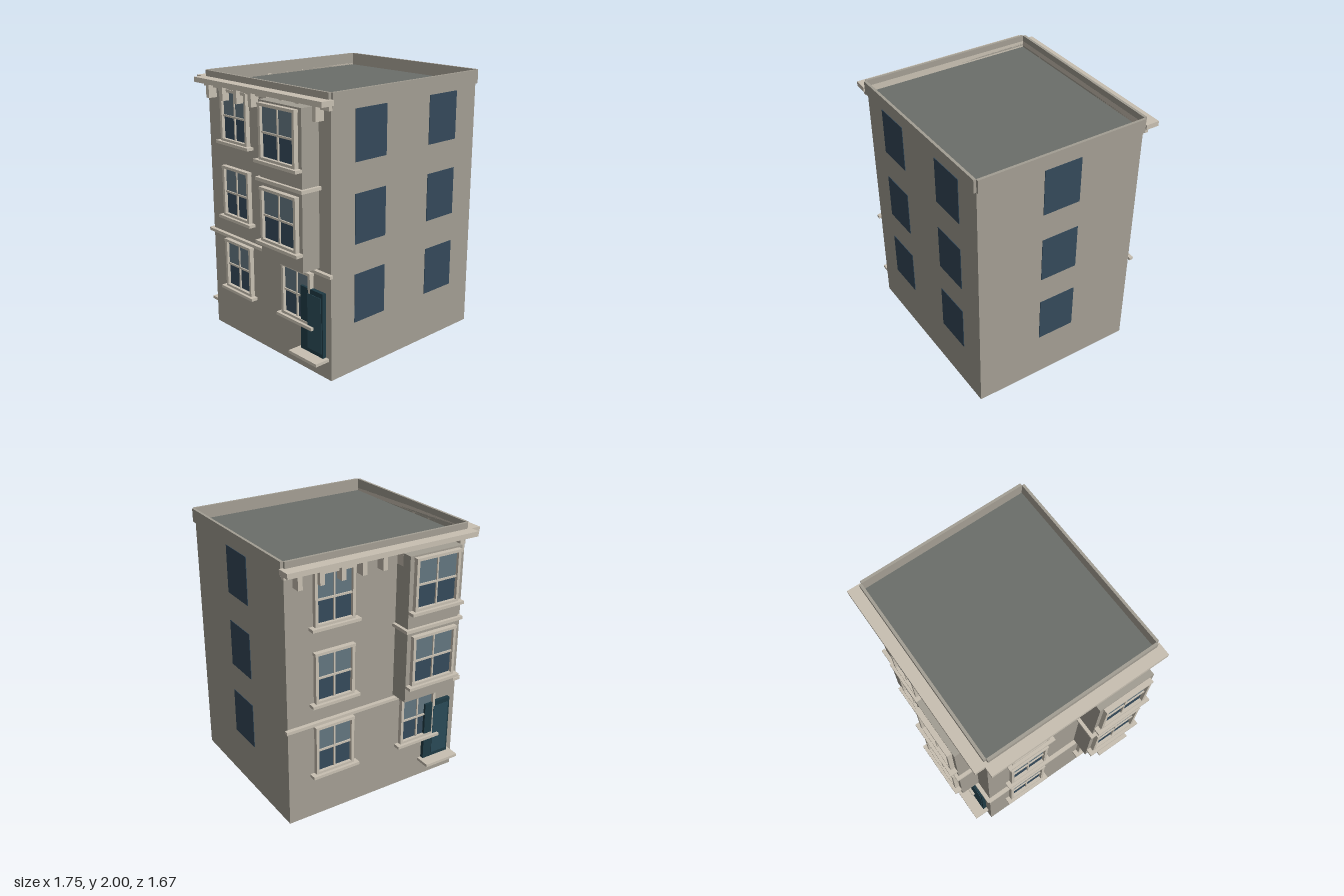
import * as THREE from 'three';

const mat = (color) => new THREE.MeshStandardMaterial({ color });
const MATS = {
  wall: mat(0xa39e93), trim: mat(0xc8c0b2), roof: mat(0x6b6f6a),
  glass: mat(0x34495a), paleGlass: mat(0x62757f), door: mat(0x1f3a44), panel: mat(0x2a4a56),
};

// Footprint corners [x, z]
const FL = [-0.59, 0.796], FR = [0.852, 0.571], BR = [0.675, -0.727], BL = [-0.772, -0.535];
const WALL_TOP = 1.9;
const FLOORS = [0.371, 0.943, 1.515]; // bottom of the glass on each storey
const GLASS_H = 0.355;

// Box on a wall: centre u along it, bottom y, back face at p, size w x h x d
function box(parent, name, material, u, y, p, w, h, d) {
  const m = new THREE.Mesh(new THREE.BoxGeometry(w, h, d), material);
  m.name = name;
  m.position.set(u, y + h / 2, p + d / 2);
  parent.add(m);
  return m;
}

// Group whose x runs along the wall from a to b and whose z points outward
function wallGroup(name, a, b) {
  const g = new THREE.Group();
  g.name = name;
  g.position.set(a[0], 0, a[1]);
  g.rotation.y = -Math.atan2(b[1] - a[1], b[0] - a[0]);
  g.userData.length = Math.hypot(b[0] - a[0], b[1] - a[1]);
  return g;
}

function prism(name, material, y, h) {
  const shape = new THREE.Shape([FL, FR, BR, BL].map(([x, z]) => new THREE.Vector2(x, -z)));
  const geo = new THREE.ExtrudeGeometry(shape, { depth: h, bevelEnabled: false });
  const m = new THREE.Mesh(geo.rotateX(-Math.PI / 2), material);
  m.name = name;
  m.position.y = y;
  return m;
}

// Two-over-two sash window with frame, header and sill
function sashWindow(parent, u, y, p, w) {
  const g = new THREE.Group();
  g.name = 'sashWindow';
  g.position.set(u, y, p);
  parent.add(g);
  const f = 0.022, half = GLASS_H / 2, d = 0.033;
  box(g, 'lowerPane', MATS.glass, 0, 0, 0, w, half, 0.008);
  box(g, 'upperPane', MATS.paleGlass, 0, half, 0, w, half, 0.012);
  for (const s of [-1, 1]) box(g, 'jamb', MATS.trim, s * (w / 2), 0, 0, f, GLASS_H, d);
  box(g, 'header', MATS.trim, 0, GLASS_H, 0, w + 0.03, 0.02, d + 0.004);
  box(g, 'bottomRail', MATS.trim, 0, -0.01, 0, w + f, 0.02, d);
  box(g, 'meetingRail', MATS.trim, 0, half - 0.006, 0, w, 0.014, 0.022);
  box(g, 'mullion', MATS.trim, 0, 0, 0, 0.012, GLASS_H, 0.02);
  box(g, 'sill', MATS.trim, 0, -0.03, 0, w + 0.09, 0.022, 0.055);
}

// Two-storey projecting bay
function bay(parent, u) {
  const g = new THREE.Group();
  g.name = 'bay';
  parent.add(g);
  const w = 0.44, d = 0.145;
  box(g, 'lowerBay', MATS.wall, u, 0.8, 0, w, 0.55, d);
  box(g, 'bayBand', MATS.trim, u, 1.35, 0, w + 0.05, 0.024, d + 0.024);
  box(g, 'upperBay', MATS.wall, u, 1.374, 0, w, 0.528, d);
  for (const y of FLOORS.slice(1)) sashWindow(g, u, y, d, 0.35);
}

function entrance(parent, u) {
  const g = new THREE.Group();
  g.name = 'entrance';
  parent.add(g);
  box(g, 'door', MATS.door, u, 0.16, 0, 0.23, 0.475, 0.03);
  box(g, 'doorPanel', MATS.panel, u + 0.03, 0.19, 0.03, 0.14, 0.41, 0.004);
  box(g, 'doorStep', MATS.trim, u, 0.138, 0, 0.29, 0.022, 0.12);
}

// Decorated street side
function streetFacade(name, a, b, bracketCount) {
  const g = wallGroup(name, a, b), L = g.userData.length;
  for (const y of FLOORS) sashWindow(g, L * 0.25, y, 0, 0.29);
  sashWindow(g, L * 0.75, FLOORS[0], 0, 0.29);
  bay(g, L * 0.75);
  entrance(g, L * 0.875);
  box(g, 'stringCourse', MATS.trim, L / 2, 0.763, 0, L + 0.04, 0.022, 0.03);
  box(g, 'cornice', MATS.trim, L / 2, 1.918, 0, L + 0.06, 0.037, 0.105);
  box(g, 'corniceMoulding', MATS.trim, L / 2, 1.885, 0, L + 0.03, 0.033, 0.03);
  for (let i = 0; i < bracketCount; i++) {
    box(g, 'bracket', MATS.trim, ((i + 0.5) / bracketCount) * L, 1.81, 0, 0.035, 0.108, 0.068);
  }
  return g;
}

// Plain side with flat windows
function plainSide(name, a, b, columns) {
  const g = wallGroup(name, a, b), L = g.userData.length;
  for (const c of columns) {
    for (const y of FLOORS) box(g, 'flatWindow', MATS.glass, c * L, y, -0.01, 0.294, GLASS_H, 0.014);
  }
  return g;
}

export function createModel() {
  const model = new THREE.Group();
  model.name = 'cornerTownhouse';
  model.add(prism('walls', MATS.wall, 0, WALL_TOP));
  model.add(prism('roofDeck', MATS.roof, WALL_TOP, 0.006));

  const sides = [
    plainSide('frontSide', FL, FR, [0.25, 0.75]),
    plainSide('rightSide', FR, BR, [0.5]),
    streetFacade('backFacade', BR, BL, 9),
    streetFacade('leftFacade', BL, FL, 8),
  ];
  // Parapet around the roof
  for (const s of sides) {
    const L = s.userData.length;
    box(s, 'parapet', MATS.wall, L / 2, WALL_TOP, 0, L, 0.1, 0.02);
    model.add(s);
  }
  return model;
}
